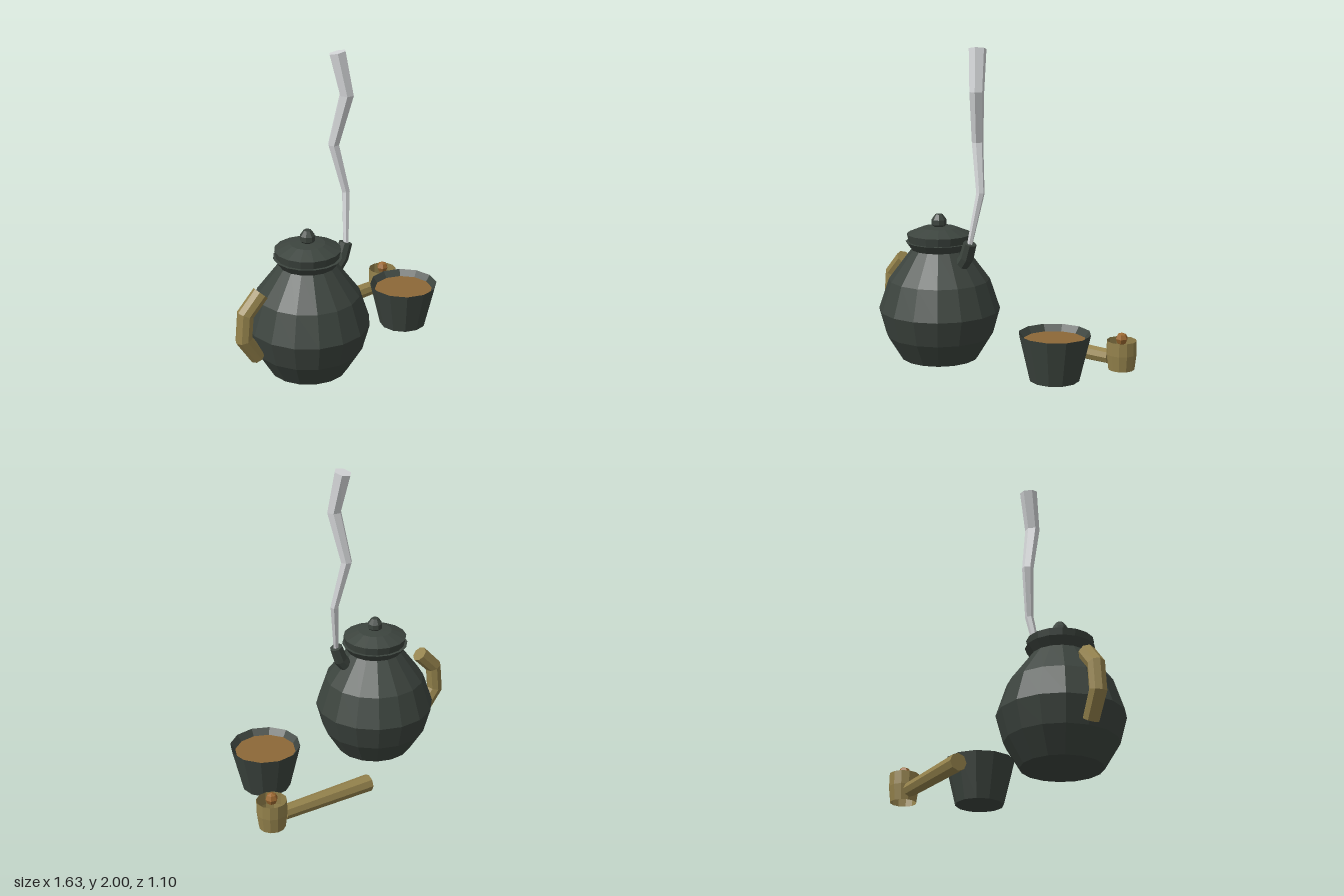
import * as THREE from 'three';

const material = (name, color, side = THREE.FrontSide) => {
  const m = new THREE.MeshStandardMaterial({ color, side });
  m.name = name;
  return m;
};

// Low-poly mesh with one normal per face
function facet(name, geometry, mat) {
  const flat = geometry.index ? geometry.toNonIndexed() : geometry;
  flat.computeVertexNormals();
  const mesh = new THREE.Mesh(flat, mat);
  mesh.name = name;
  return mesh;
}

// Turned part from [radius, height] pairs, bottom to top
function turned(name, profile, sides, mat) {
  const pts = profile.map(([r, y]) => new THREE.Vector2(r, y));
  return facet(name, new THREE.LatheGeometry(pts, sides), mat);
}

// Capped faceted tube through [x, y, z, radius] stations
function sweep(name, stations, sides, mat) {
  const centres = stations.map((s) => new THREE.Vector3(s[0], s[1], s[2]));
  const last = centres.length - 1;
  const rings = centres.map((c, i) => {
    const t = new THREE.Vector3();
    if (i > 0) t.add(c.clone().sub(centres[i - 1]).normalize());
    if (i < last) t.add(centres[i + 1].clone().sub(c).normalize());
    t.normalize();
    const u = new THREE.Vector3(0, 0, 1).cross(t).normalize();
    const v = t.clone().cross(u);
    return Array.from({ length: sides }, (_, j) => {
      const a = (j / sides) * Math.PI * 2;
      return c.clone()
        .addScaledVector(u, Math.cos(a) * stations[i][3])
        .addScaledVector(v, Math.sin(a) * stations[i][3]);
    });
  });
  const tris = [];
  for (let j = 0; j < sides; j++) {
    const k = (j + 1) % sides;
    for (let i = 0; i < last; i++) {
      const [a, b, c, d] = [rings[i][j], rings[i][k], rings[i + 1][j], rings[i + 1][k]];
      tris.push(a, b, c, b, d, c);
    }
    tris.push(centres[0], rings[0][k], rings[0][j]);
    tris.push(centres[last], rings[last][j], rings[last][k]);
  }
  return facet(name, new THREE.BufferGeometry().setFromPoints(tris), mat);
}

export function createModel() {
  const iron = material('dark iron', 0x3c443e);
  const wood = material('bamboo', 0x94824c);
  const woodOpen = material('bamboo shell', 0x94824c, THREE.DoubleSide);
  const tea = material('tea', 0x8c6838);
  const ember = material('ember', 0x9c6830);
  const steamMat = material('steam', 0xd4d6d8);

  const model = new THREE.Group();
  model.name = 'teaSet';

  // Teapot body, lid and knob
  const pot = new THREE.Group();
  pot.name = 'teapot';
  pot.position.set(-0.3, 0, 0.155);
  pot.add(
    turned('potBody', [[0, 0], [0.25, 0], [0.345, 0.155], [0.39, 0.32], [0.325, 0.515],
      [0.178, 0.71], [0.215, 0.76], [0, 0.76]], 16, iron),
    turned('lid', [[0.195, 0.755], [0.207, 0.81], [0.11, 0.85], [0, 0.86]], 16, iron),
    turned('lidKnob', [[0.025, 0.845], [0.048, 0.868], [0.048, 0.9], [0.024, 0.934], [0, 0.936]], 8, iron),
  );
  model.add(pot);

  // Spout, side handle and rising steam
  model.add(
    sweep('spout', [[-0.13, 0.59, 0.155, 0.047], [-0.05, 0.69, 0.155, 0.046],
      [-0.017, 0.785, 0.155, 0.042]], 8, iron),
    sweep('potHandle', [[-0.67, 0.175, 0.155, 0.05], [-0.765, 0.32, 0.155, 0.054],
      [-0.75, 0.485, 0.155, 0.054], [-0.64, 0.6, 0.155, 0.053]], 8, wood),
    sweep('steam', [[-0.02, 0.76, 0.16, 0.017], [0.02, 1.1, 0.1, 0.027],
      [-0.045, 1.41, 0.06, 0.037], [0.01, 1.73, 0.12, 0.047], [-0.028, 1.99, 0.075, 0.056]], 6, steamMat),
  );

  // Cup filled with tea
  const cup = new THREE.Group();
  cup.name = 'cup';
  cup.position.set(0.56, 0, 0);
  cup.add(
    turned('cupShell', [[0, 0], [0.155, 0], [0.224, 0.29], [0.193, 0.25]], 12, iron),
    turned('teaSurface', [[0.194, 0.25], [0, 0.25]], 12, tea),
  );
  model.add(cup);

  // Pipe: open bowl, glowing plug and long stem
  const bowl = new THREE.Group();
  bowl.name = 'pipeBowl';
  bowl.position.set(0.715, 0, -0.455);
  const plug = facet('ember', new THREE.SphereGeometry(0.04, 6, 4), ember);
  plug.position.y = 0.195;
  bowl.add(
    turned('bowlShell', [[0.083, 0], [0.095, 0.1], [0.094, 0.185]], 12, woodOpen),
    plug,
  );
  model.add(
    bowl,
    sweep('pipeStem', [[0.01, 0.064, -0.37, 0.055], [0.63, 0.064, -0.444, 0.047]], 8, wood),
  );

  return model;
}
